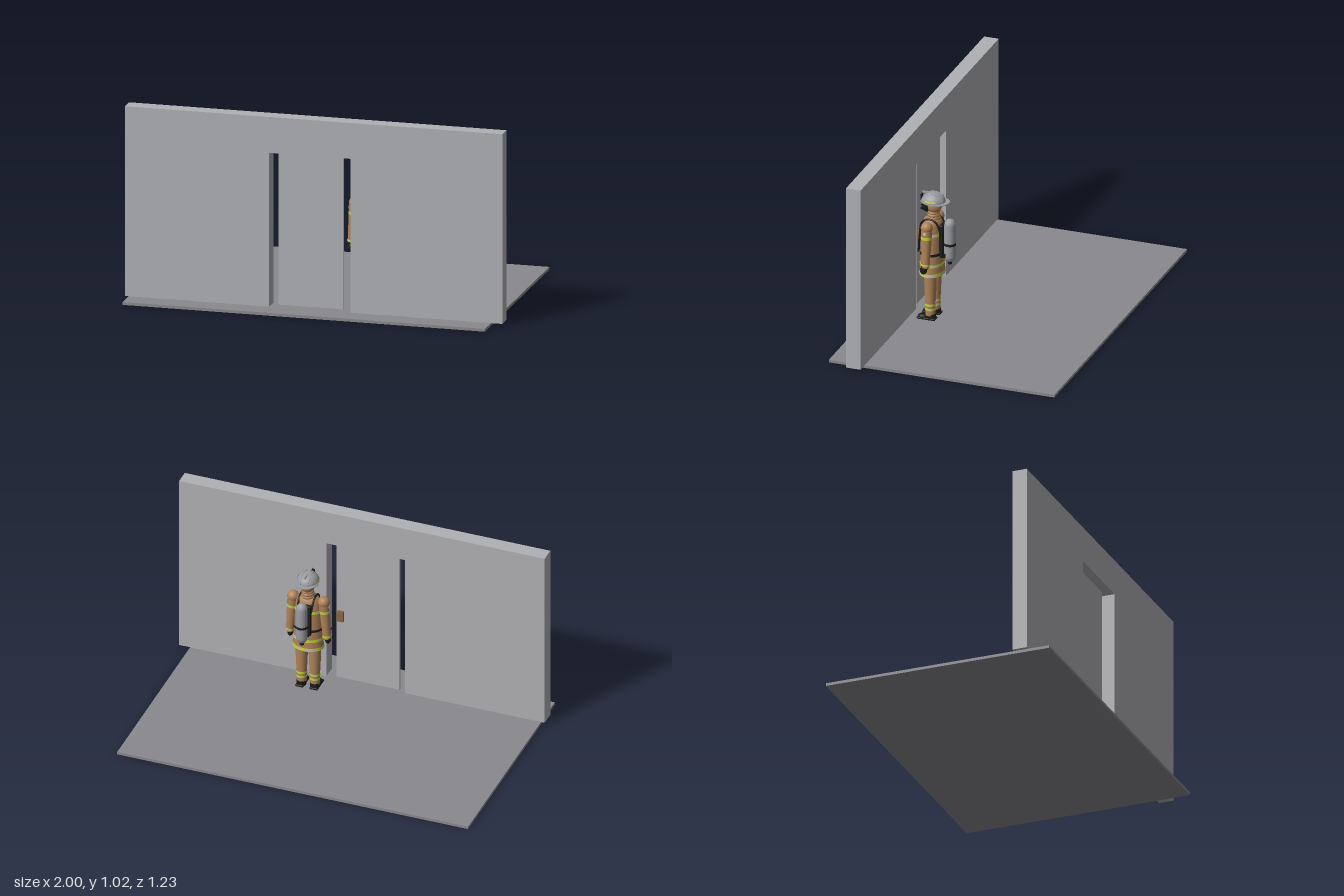
import * as THREE from 'three';
import { RoundedBoxGeometry } from 'three/addons/geometries/RoundedBoxGeometry.js';

const paint = (name, color, side = THREE.FrontSide) => {
  const m = new THREE.MeshStandardMaterial({ color, side });
  m.name = name;
  return m;
};

export function createModel() {
  const wallGrey = paint('wallGrey', 0xb0b1b4);
  const floorGrey = paint('floorGrey', 0x8a8a8e);
  const tan = paint('coatTan', 0xb08358, THREE.DoubleSide);
  const black = paint('gearBlack', 0x1c1c1c);
  const steel = paint('steelGrey', 0x9a9ca1, THREE.DoubleSide);
  const lime = paint('reflectiveLime', 0xc6e01c, THREE.DoubleSide);
  const silver = paint('reflectiveSilver', 0xb9bdc2, THREE.DoubleSide);
  const brown = paint('handleBrown', 0x96633a);

  const model = new THREE.Group();
  const add = (parent, name, geo, mat, x = 0, y = 0, z = 0) => {
    const m = new THREE.Mesh(geo, mat);
    m.name = name;
    m.position.set(x, y, z);
    parent.add(m);
    return m;
  };
  const group = (parent, name, x = 0, y = 0, z = 0) => {
    const g = new THREE.Group();
    g.name = name;
    g.position.set(x, y, z);
    parent.add(g);
    return g;
  };
  const box = (w, h, d) => new THREE.BoxGeometry(w, h, d);
  const ball = (r) => new THREE.SphereGeometry(r, 24, 16);
  const lathe = (pts) => new THREE.LatheGeometry(pts.map(([r, y]) => new THREE.Vector2(r, y)), 32);
  const tube = (pts, r) => new THREE.TubeGeometry(
    new THREE.CatmullRomCurve3(pts.map((p) => new THREE.Vector3(...p))), 32, r, 8);

  // Radius of a lathe profile at height y (profile runs upward)
  const radiusAt = (pts, y) => {
    for (let i = 1; i < pts.length; i++) {
      const [r0, y0] = pts[i - 1], [r1, y1] = pts[i];
      if (y <= y1) return r0 + (r1 - r0) * (y - y0) / (y1 - y0);
    }
    return pts[pts.length - 1][0];
  };
  // Thin ring that hugs a lathe profile
  const ring = (parent, name, pts, y, h, mat, lift = 0.0015) => add(parent, name,
    new THREE.CylinderGeometry(radiusAt(pts, y + h / 2) + lift, radiusAt(pts, y - h / 2) + lift, h, 32, 1, true),
    mat, 0, y, 0);
  // Lime, silver, lime reflective tape
  const tape = (parent, pts, y, h) => {
    ring(parent, 'reflectiveTape', pts, y, h, lime);
    ring(parent, 'reflectiveTapeCentre', pts, y, h * 0.4, silver, 0.0025);
  };

  // Floor slab and wall with a doorway
  add(model, 'floor', box(1.92, 0.015, 1.23), floorGrey, -0.02, 0.0075, 0);
  const outline = new THREE.Shape([
    [-1, 0.015], [-0.235, 0.015], [-0.235, 0.83], [0.195, 0.83],
    [0.195, 0.015], [1, 0.015], [1, 1.02], [-1, 1.02],
  ].map((p) => new THREE.Vector2(...p)));
  add(model, 'wall', new THREE.ExtrudeGeometry(outline, { depth: 0.08, bevelEnabled: false }), wallGrey, 0, 0, 0.42);

  // Door leaf and its handle on the inner side
  add(model, 'door', box(0.345, 0.814, 0.012), wallGrey, -0.0275, 0.422, 0.444);
  add(model, 'doorHandle', box(0.032, 0.06, 0.018), brown, 0.12, 0.395, 0.43);

  // Firefighter, facing the door
  const man = group(model, 'firefighter', 0.25, 0, 0.31);

  // Legs and boots
  const leg = [[0.026, 0.04], [0.027, 0.11], [0.031, 0.2], [0.033, 0.28]];
  for (const s of [-1, 1]) {
    const g = group(man, s > 0 ? 'leftLeg' : 'rightLeg', s * 0.036, 0, -0.002);
    add(g, 'trouserLeg', lathe(leg), tan);
    tape(g, leg, 0.1, 0.013);
    tape(g, leg, 0.076, 0.013);
    add(g, 'bootSole', new RoundedBoxGeometry(0.044, 0.012, 0.1, 3, 0.005), black, s * 0.003, 0.021, 0.018);
    add(g, 'bootToe', ball(1), black, s * 0.003, 0.026, 0.04).scale.set(0.022, 0.016, 0.027);
    add(g, 'bootAnkle', new THREE.CylinderGeometry(0.025, 0.025, 0.028, 24), black, 0, 0.034, -0.003);
  }

  // Coat, wider than deep
  const coat = [[0.064, 0.262], [0.061, 0.32], [0.058, 0.4], [0.055, 0.49],
    [0.051, 0.54], [0.042, 0.565], [0.022, 0.58]];
  const body = group(man, 'coat');
  body.scale.x = 1.28;
  add(body, 'coatBody', lathe(coat), tan);
  tape(body, coat, 0.273, 0.018);
  tape(body, coat, 0.325, 0.016);
  tape(body, coat, 0.492, 0.016);
  ring(body, 'waistBelt', coat, 0.385, 0.014, black, 0.003);

  // Arms, gloves and shoulder patches
  const sleeve = [[0.021, -0.215], [0.022, -0.18], [0.026, -0.09], [0.029, 0]];
  for (const s of [-1, 1]) {
    const g = group(man, s > 0 ? 'leftArm' : 'rightArm', s * 0.084, 0.545, 0);
    g.rotation.z = s * 0.08;
    add(g, 'shoulder', ball(0.031), tan);
    add(g, 'sleeve', lathe(sleeve), tan);
    tape(g, sleeve, -0.053, 0.015);
    tape(g, sleeve, -0.2, 0.012);
    add(g, 'sleevePatch', box(0.003, 0.014, 0.014), silver, s * 0.029, -0.026, 0);
    add(g, 'gloveCuff', new THREE.CylinderGeometry(0.019, 0.017, 0.02, 20), black, 0, -0.217, 0.006);
    add(g, 'glove', ball(1), black, 0, -0.232, 0.011).scale.set(0.015, 0.022, 0.019);
  }

  // Thin tool held in the right hand
  add(man, 'handTool', tube([[-0.094, 0.322, 0.01], [-0.092, 0.328, 0.05], [-0.09, 0.33, 0.094]], 0.003), black);
  add(man, 'toolTip', ball(0.0045), black, -0.09, 0.33, 0.092);

  // Collar, hood and face mask
  for (const [y, r] of [[0.573, 0.024], [0.588, 0.022], [0.601, 0.019]])
    add(man, 'collar', new THREE.TorusGeometry(r, 0.012, 12, 28), tan, 0, y, -0.007).rotation.x = Math.PI / 2;
  add(man, 'neck', new THREE.CylinderGeometry(0.026, 0.026, 0.05, 24), tan, 0, 0.59, -0.008);
  add(man, 'hood', ball(1), tan, 0, 0.64, -0.01).scale.set(0.037, 0.044, 0.04);
  add(man, 'faceMask', ball(1), black, 0, 0.638, 0.029).scale.set(0.032, 0.038, 0.028);
  add(man, 'maskRegulator', new THREE.CylinderGeometry(0.013, 0.015, 0.018, 20), black, 0, 0.62, 0.053).rotation.x = Math.PI / 2;

  // Helmet: dome, brim, ridges, front plate and side tape
  const helmet = group(man, 'helmet', 0, 0.66, -0.005);
  add(helmet, 'helmetDome', new THREE.SphereGeometry(1, 32, 16, 0, Math.PI * 2, 0, Math.PI / 2), steel)
    .scale.set(0.057, 0.05, 0.063);
  add(helmet, 'helmetBrim', new THREE.CylinderGeometry(1, 1, 0.004, 36), steel, 0, 0.001, -0.01)
    .scale.set(0.062, 1, 0.077);
  add(helmet, 'helmetCrest', box(0.01, 0.008, 0.115), steel, 0, 0.045, 0.002);
  for (const s of [-1, 1]) {
    const ridge = add(helmet, 'helmetRidge', new THREE.TorusGeometry(1, 0.04, 8, 28, Math.PI), steel, s * 0.022, 0, 0);
    ridge.rotation.y = Math.PI / 2;
    ridge.scale.set(0.058, 0.047, 0.05);
    const strip = add(helmet, 'helmetTape',
      new THREE.CylinderGeometry(0.955, 0.985, 0.007, 12, 1, true, s * Math.PI / 2 - 0.5, 1), lime, 0, 0.014, 0);
    strip.scale.set(0.058, 1, 0.064);
  }
  add(helmet, 'helmetFrontPlate', box(0.026, 0.03, 0.006), black, 0, 0.017, 0.064);

  // Breathing apparatus: back frame, cylinder, valve and straps
  const pack = group(man, 'breathingPack');
  add(pack, 'backFrame', new RoundedBoxGeometry(0.075, 0.18, 0.022, 3, 0.006), black, 0, 0.455, -0.059);
  const tankProfile = [[0, 0.335], [0.016, 0.34], [0.026, 0.352], [0.03, 0.37], [0.03, 0.54],
    [0.026, 0.558], [0.016, 0.57], [0, 0.574]];
  const tank = group(pack, 'airTank', 0, 0, -0.095);
  add(tank, 'airCylinder', lathe(tankProfile), steel);
  ring(tank, 'tankStrap', [[0.03, 0.37], [0.03, 0.54]], 0.437, 0.014, black, 0.002);
  add(tank, 'tankValve', new THREE.CylinderGeometry(0.011, 0.011, 0.018, 16), black, 0, 0.334, 0);
  add(pack, 'lowerMount', box(0.06, 0.02, 0.03), black, 0, 0.375, -0.064);
  for (const s of [-1, 1])
    add(pack, 'shoulderStrap', tube([[s * 0.036, 0.5, -0.058], [s * 0.04, 0.56, -0.032], [s * 0.04, 0.572, 0.008],
      [s * 0.04, 0.553, 0.042], [s * 0.039, 0.47, 0.056], [s * 0.037, 0.385, 0.062]], 0.0055), black);

  return model;
}
